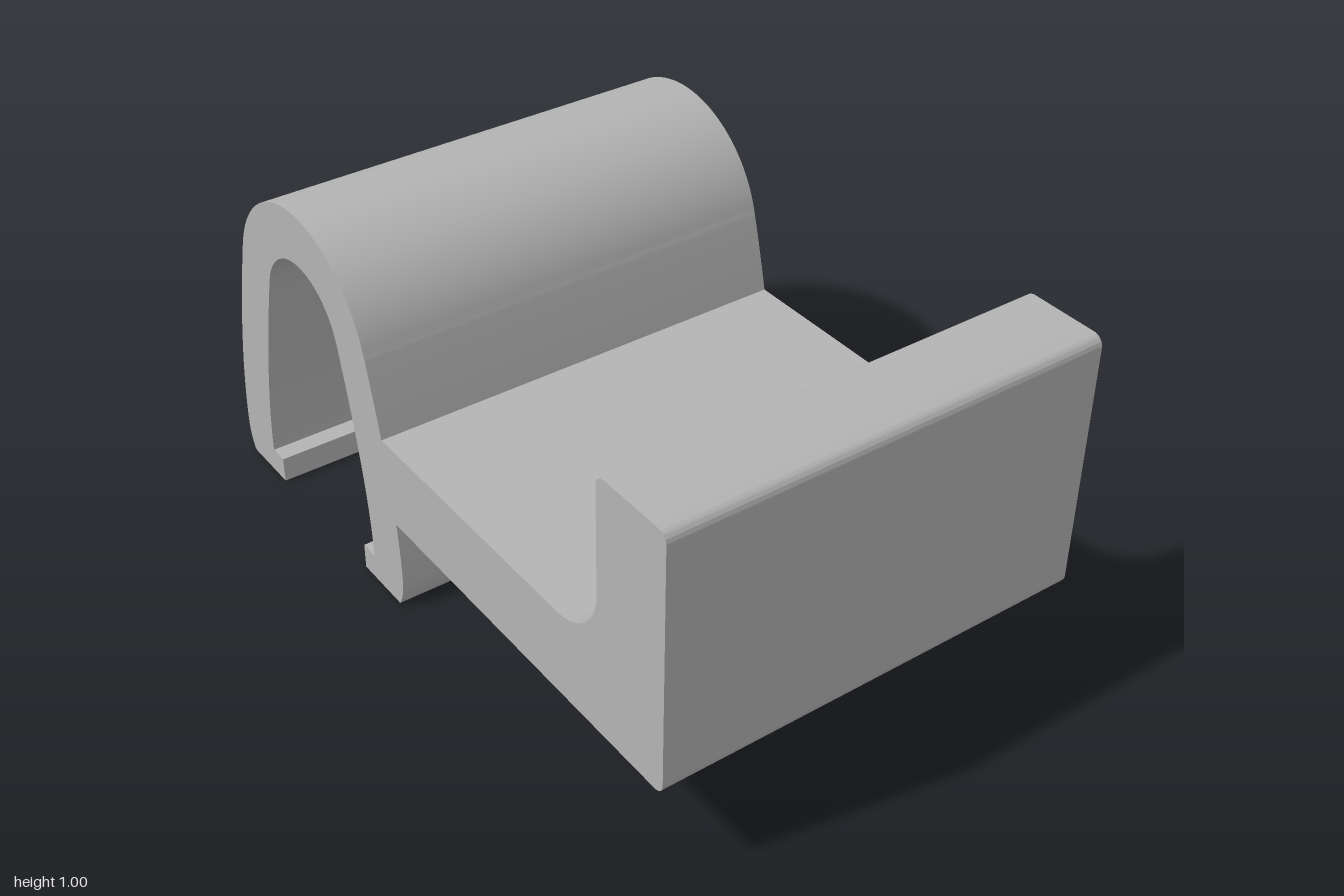
import * as THREE from 'three';
import { toCreasedNormals } from 'three/addons/utils/BufferGeometryUtils.js';

const DEPTH = 1.21;
const ARCH_X = -0.565, ARCH_Y = 0.644, TILT = 0.262; // centre and end angle of the arch top
const ARM_BOTTOM = 0.275, ARM_TOP = 0.515;

const mirror = (x) => 2 * ARCH_X - x;

// Quadratic wall curves of the left leg; the right leg mirrors them
const OUTER = [[-1, 0.1], [-1, 0.35], [-0.89, 0.73]];
const INNER = [[-0.85, 0.08], [-0.85, 0.31], [-0.745, 0.692]];

// Two-parameter form of the curve, used to cut out a section of it
function blossom([p, q, r], a, b) {
  return [0, 1].map((i) =>
    (1 - a) * (1 - b) * p[i] + (a + b - 2 * a * b) * q[i] + a * b * r[i]);
}

// Parameter at which the outer wall reaches height y
const outerAt = (y) => (-0.5 + Math.sqrt(0.25 + 0.52 * (y - 0.1))) / 0.26;

// Draws a wall section from a to b, on the left or mirrored to the right
function wall(shape, curve, a, b, right) {
  const fx = (x) => (right ? mirror(x) : x);
  const s = blossom(curve, a, a), c = blossom(curve, a, b), e = blossom(curve, b, b);
  shape.lineTo(fx(s[0]), s[1]);
  shape.quadraticCurveTo(fx(c[0]), c[1], fx(e[0]), e[1]);
}

function profile() {
  const s = new THREE.Shape();
  const r = 0.03;

  // Left foot and outer face of the arch
  s.moveTo(-0.795, 0.005);
  s.lineTo(-0.975, 0.005);
  s.quadraticCurveTo(-1, 0.045, -1, 0.1);
  wall(s, OUTER, 0, 1, false);
  s.absarc(ARCH_X, ARCH_Y, 0.336, Math.PI - TILT, TILT, true);
  wall(s, OUTER, 1, outerAt(ARM_TOP), true);

  // Arm with a filleted upright and rounded corners
  s.lineTo(0.595, ARM_TOP);
  s.absarc(0.595, ARM_TOP + 0.16, 0.16, -Math.PI / 2, 0, false);
  s.absarc(0.755 + r, 1 - r, r, Math.PI, Math.PI / 2, true);
  s.absarc(1 - r, 1 - r, r, Math.PI / 2, 0, true);
  s.absarc(1 - r, ARM_BOTTOM + r, r, 0, -Math.PI / 2, true);

  // Right leg below the arm, and its foot
  wall(s, OUTER, outerAt(ARM_BOTTOM), 0, true);
  s.quadraticCurveTo(mirror(-1), 0.045, mirror(-0.975), 0.005);
  s.lineTo(mirror(-0.795), 0.005);
  s.lineTo(mirror(-0.795), 0.08);

  // Inner face of the arch, back to the left lip
  wall(s, INNER, 0, 1, true);
  s.absarc(ARCH_X, ARCH_Y, 0.186, TILT, Math.PI - TILT, false);
  wall(s, INNER, 1, 0, false);
  s.lineTo(-0.795, 0.08);
  s.closePath();
  return s;
}

export function createModel() {
  const group = new THREE.Group();
  group.name = 'clipBracket';
  const grey = new THREE.MeshStandardMaterial({ color: 0xb4b4b4 });
  grey.name = 'light grey';

  // The whole bracket is one constant section
  const solid = new THREE.ExtrudeGeometry(profile(), {
    depth: DEPTH, bevelEnabled: false, curveSegments: 20,
  });
  solid.translate(0, -0.005, -DEPTH / 2);
  const mesh = new THREE.Mesh(toCreasedNormals(solid, 0.3), grey);
  mesh.name = 'archClipWithArm';
  group.add(mesh);
  return group;
}
